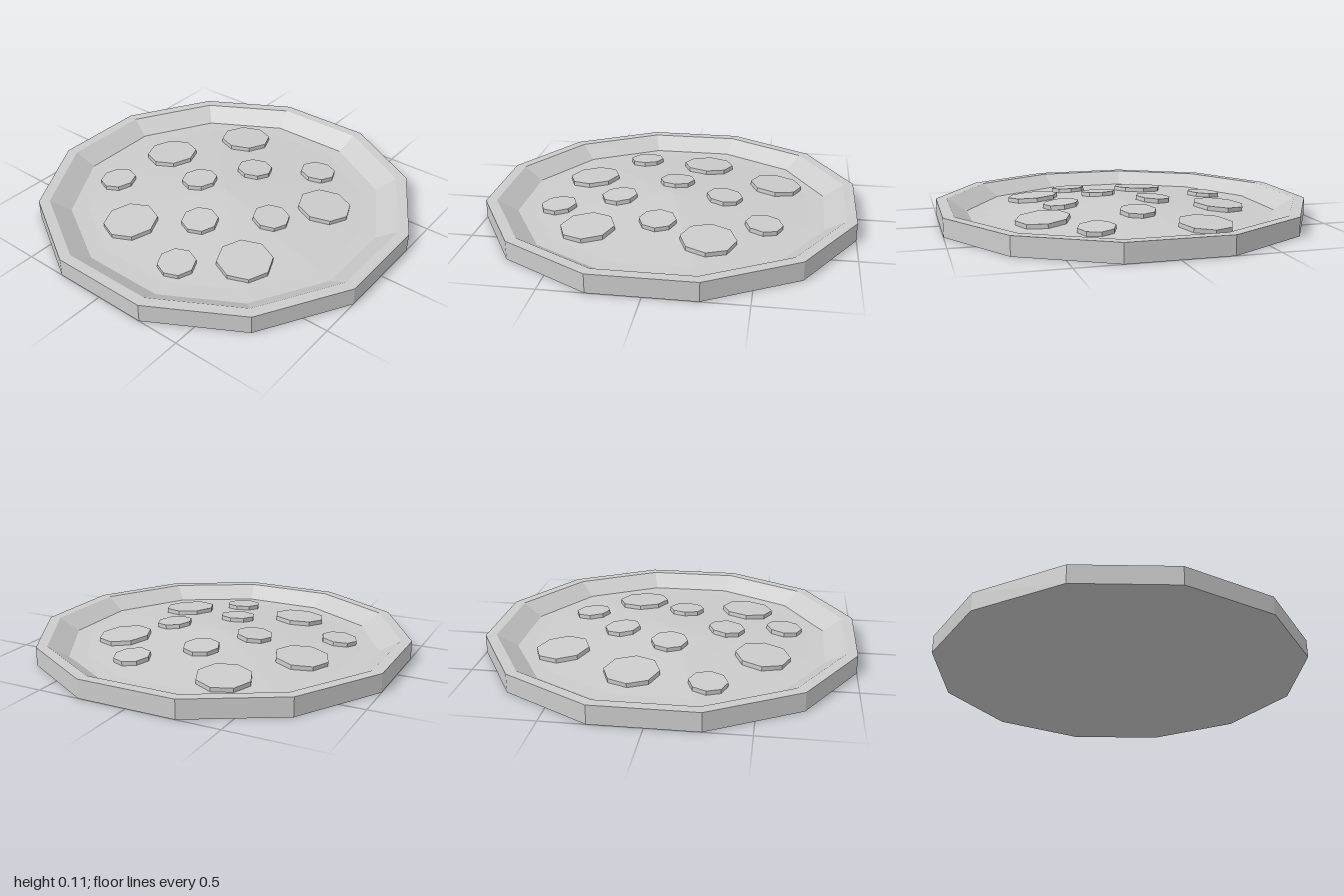
import * as THREE from 'three';

const material = new THREE.MeshStandardMaterial({ color: 0xcccccc, flatShading: true });
const APEX = 0.095, EDGE = 0.032, EDGE_RADIUS = 0.77;
const SLOPE = (APEX - EDGE) / EDGE_RADIUS;

// Twelve-sided turned part with flats facing the axes
function turned(name, profile) {
  const points = profile.map(([r, y]) => new THREE.Vector2(r, y));
  const mesh = new THREE.Mesh(new THREE.LatheGeometry(points, 12, Math.PI / 12), material);
  mesh.name = name;
  return mesh;
}

// Octagonal slice lying on the sloping topping
function slice(x, z, radius) {
  const r = Math.hypot(x, z);
  const mesh = new THREE.Mesh(new THREE.CylinderGeometry(radius, radius, 0.044, 8), material);
  const normal = new THREE.Vector3((SLOPE * x) / r, 1, (SLOPE * z) / r).normalize();
  mesh.quaternion.setFromUnitVectors(new THREE.Vector3(0, 1, 0), normal);
  mesh.position.set(x, APEX - SLOPE * r, z);
  mesh.name = 'toppingSlice';
  return mesh;
}

export function createModel() {
  const model = new THREE.Group();
  model.name = 'pizza';

  // Crust: flat underside, upright side, flat rim, sloping inner wall
  model.add(turned('crust', [[0, 0], [1.035, 0], [1.035, 0.1], [0.976, 0.1], [0.865, 0.03]]));

  // Topping: narrow flat border rising to a shallow peak
  model.add(turned('topping', [[0.865, 0.03], [EDGE_RADIUS, EDGE], [0, APEX]]));

  // Round slices: large and small
  const slices = new THREE.Group();
  slices.name = 'toppingSlices';
  const large = [[0.14, -0.53], [0.56, -0.29], [-0.51, -0.25], [-0.39, 0.43], [0.25, 0.49]];
  const small = [[-0.255, -0.595], [-0.005, -0.19], [0.285, -0.015], [-0.295, 0.055],
    [-0.615, 0.17], [-0.035, 0.335], [0.52, 0.27]];
  for (const [x, z] of large) slices.add(slice(x, z, 0.146));
  for (const [x, z] of small) slices.add(slice(x, z, 0.1));
  model.add(slices);

  return model;
}
